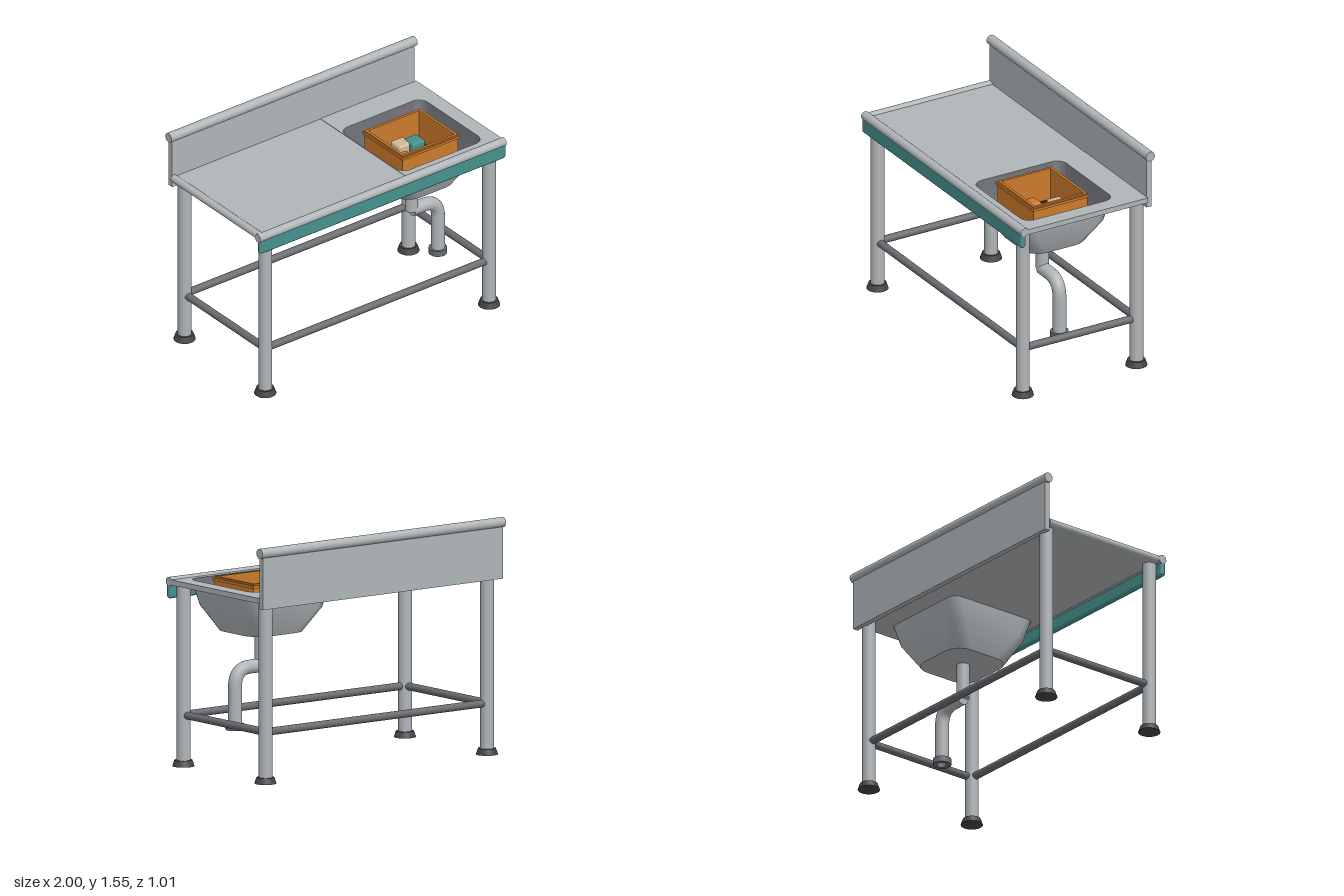
import * as THREE from 'three';
import { RoundedBoxGeometry } from 'three/addons/geometries/RoundedBoxGeometry.js';

const paint = (name, color, side = THREE.FrontSide) => {
  const m = new THREE.MeshStandardMaterial({ color, side });
  m.name = name;
  return m;
};

// Loft of rounded squares; each ring is [y, halfWidth, cornerRadius]
function loft(rings, inward) {
  const per = 6, n = per * 4, pos = [], idx = [];
  for (const [y, h, r] of rings) {
    for (let i = 0; i < n; i++) {
      const q = Math.floor(i / per);
      const a = (q + (i % per) / (per - 1)) * Math.PI / 2;
      const sx = q === 0 || q === 3 ? 1 : -1, sz = q < 2 ? 1 : -1;
      pos.push(sx * (h - r) + r * Math.cos(a), y, sz * (h - r) + r * Math.sin(a));
    }
  }
  for (let j = 0; j < rings.length - 1; j++) {
    for (let i = 0; i < n; i++) {
      const a = j * n + i, b = j * n + (i + 1) % n, c = a + n, d = b + n;
      if (inward) idx.push(a, c, b, b, c, d);
      else idx.push(a, b, c, b, d, c);
    }
  }
  const g = new THREE.BufferGeometry();
  g.setAttribute('position', new THREE.Float32BufferAttribute(pos, 3));
  g.setIndex(idx);
  g.computeVertexNormals();
  return g;
}

export function createModel() {
  const root = new THREE.Group();
  root.name = 'sinkTable';
  const steel = paint('steel', 0xb0b5b8);
  const steelSheet = steel;
  const darkSteel = paint('darkSteel', 0x6a6c71);
  const rubber = paint('rubber', 0x454548);
  const teal = paint('teal', 0x45918e);
  const orange = paint('orange', 0xcb7a2b);
  const beige = paint('beige', 0xcdba92);
  const black = paint('black', 0x262626);

  const add = (name, geo, mat, x = 0, y = 0, z = 0) => {
    const m = new THREE.Mesh(geo, mat);
    m.name = name;
    m.position.set(x, y, z);
    root.add(m);
    return m;
  };
  const box = (name, mat, x0, x1, y0, y1, z0, z1) =>
    add(name, new THREE.BoxGeometry(x1 - x0, y1 - y0, z1 - z0), mat,
      (x0 + x1) / 2, (y0 + y1) / 2, (z0 + z1) / 2);
  const rod = (name, mat, axis, r, len, x, y, z) => {
    const g = new THREE.CylinderGeometry(r, r, len, 24);
    if (axis === 'x') g.rotateZ(Math.PI / 2);
    if (axis === 'z') g.rotateX(Math.PI / 2);
    return add(name, g, mat, x, y, z);
  };

  // Legs, feet and lower rails
  const legX = 0.91, frontZ = 0.435, backZ = -0.42;
  for (const z of [frontZ, backZ]) {
    for (const x of [-legX, legX]) {
      rod('leg', steel, 'y', 0.045, 1.17, x, 0.615, z);
      add('foot', new THREE.CylinderGeometry(0.058, 0.072, 0.04, 24), rubber, x, 0.02, z);
    }
    rod('longRail', darkSteel, 'x', 0.025, 1.75, 0, 0.335, z);
  }
  for (const x of [-legX, legX])
    rod('sideRail', darkSteel, 'z', 0.025, 0.78, x, 0.335, (frontZ + backZ) / 2);

  // Worktop: plain deck on one side, sink surround on the other
  box('deck', steel, -0.975, 0.22, 1.19, 1.222, -0.455, 0.46);
  const cx = 0.56, cz = 0.07, h = 0.335, r = 0.07;
  const surround = new THREE.Shape([
    new THREE.Vector2(0.22, -0.455), new THREE.Vector2(1, -0.455),
    new THREE.Vector2(1, 0.46), new THREE.Vector2(0.22, 0.46)]);
  const hole = new THREE.Path();
  hole.absarc(cx + h - r, cz + h - r, r, 0, Math.PI / 2);
  hole.absarc(cx - h + r, cz + h - r, r, Math.PI / 2, Math.PI);
  hole.absarc(cx - h + r, cz - h + r, r, Math.PI, Math.PI * 1.5);
  hole.absarc(cx + h - r, cz - h + r, r, Math.PI * 1.5, Math.PI * 2);
  surround.holes.push(hole);
  const surroundGeo = new THREE.ExtrudeGeometry(surround,
    { depth: 0.035, bevelEnabled: false, curveSegments: 6 });
  surroundGeo.rotateX(Math.PI / 2);
  add('sinkSurround', surroundGeo, steelSheet, 0, 1.225, 0);

  // Rolled edges and front apron
  rod('frontRoll', steel, 'x', 0.03, 2, 0, 1.21, 0.474);
  rod('sideRoll', steel, 'z', 0.026, 0.92, -0.972, 1.213, 0.005);
  add('apron', new RoundedBoxGeometry(2, 0.11, 0.04, 3, 0.018), teal, 0, 1.153, 0.482);

  // Splashback
  box('splashback', steel, -0.985, 0.985, 1.15, 1.51, -0.49, -0.453);
  rod('splashbackRoll', steel, 'x', 0.033, 2, 0, 1.517, -0.473);

  // Basin, outside and inside
  add('basinOutside', loft([
    [1.2, 0.335, 0.07], [1.06, 0.307, 0.09], [0.9, 0.225, 0.12],
    [0.9, 0.225, 0.12], [0.9, 0, 0]], false), steel, cx, 0, cz);
  add('basinInside', loft([
    [1.224, 0.334, 0.07], [1.07, 0.3, 0.09], [0.91, 0.218, 0.12],
    [0.91, 0.218, 0.12], [0.91, 0, 0]], true), darkSteel, cx, 0, cz);

  // Drain pipe with bend and end collar
  rod('drainPipe', steel, 'y', 0.043, 0.24, 0.556, 0.79, 0.075);
  const v = (x, y) => new THREE.Vector3(x, y, 0.075);
  const path = new THREE.CurvePath();
  path.add(new THREE.LineCurve3(v(0.556, 0.67), v(0.65, 0.67)));
  path.add(new THREE.QuadraticBezierCurve3(v(0.65, 0.67), v(0.77, 0.67), v(0.77, 0.55)));
  path.add(new THREE.LineCurve3(v(0.77, 0.55), v(0.77, 0.29)));
  add('drainBend', new THREE.TubeGeometry(path, 32, 0.045, 20), steel);
  add('drainBendCap', new THREE.CircleGeometry(0.045, 20).rotateY(-Math.PI / 2),
    steel, 0.556, 0.67, 0.075);
  const collar = [[0.035, 0.31], [0.035, 0.27], [0.06, 0.27], [0.06, 0.31], [0.035, 0.31]]
    .flatMap(([x, y]) => [new THREE.Vector2(x, y), new THREE.Vector2(x, y)]);
  add('drainCollar', new THREE.LatheGeometry(collar, 24), darkSteel, 0.77, 0, 0.075);
  add('drainPlug', new THREE.CircleGeometry(0.036, 20).rotateX(Math.PI / 2),
    black, 0.77, 0.305, 0.075);

  // Crate: four walls, a wider rim band and a dark floor
  const frame = (name, x0, x1, z0, z1, y0, y1, t) => {
    box(name, orange, x0, x1, y0, y1, z0, z0 + t);
    box(name, orange, x0, x1, y0, y1, z1 - t, z1);
    box(name, orange, x0, x0 + t, y0, y1, z0 + t, z1 - t);
    box(name, orange, x1 - t, x1, y0, y1, z0 + t, z1 - t);
  };
  frame('crateWall', 0.33, 0.78, -0.13, 0.275, 0.96, 1.25, 0.018);
  frame('crateRim', 0.32, 0.79, -0.14, 0.285, 1.222, 1.24, 0.012);
  box('crateFloor', black, 0.345, 0.765, 0.97, 1.03, -0.115, 0.26);

  // Sponges in the crate
  const sponge = (mat, x, y, z) =>
    add('sponge', new RoundedBoxGeometry(0.104, 0.1, 0.104, 3, 0.018), mat, x, y, z);
  sponge(beige, 0.556, 1.08, -0.034);
  sponge(teal, 0.637, 1.088, 0.002);
  sponge(orange, 0.475, 1.075, 0.107);

  return root;
}
